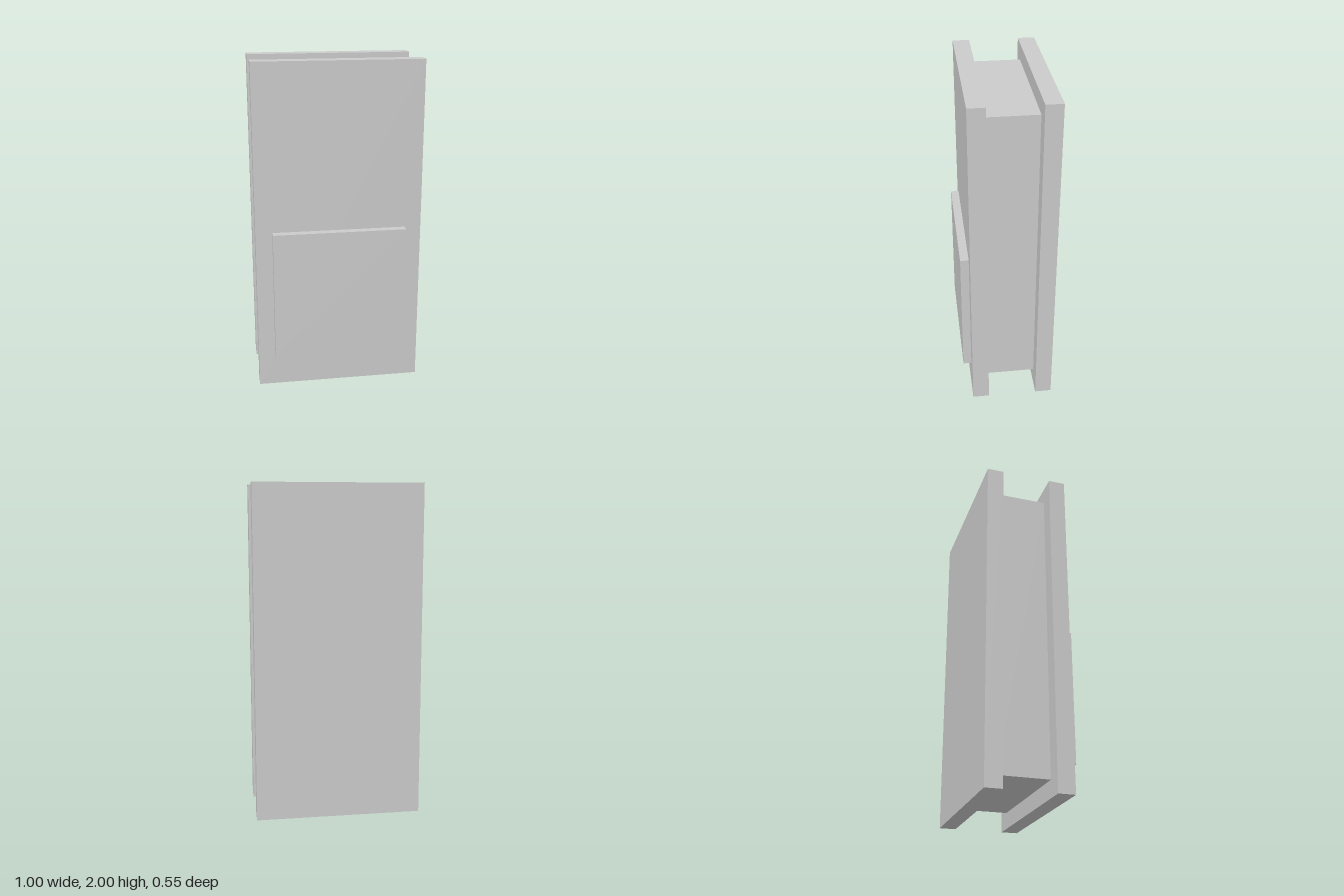
import * as THREE from 'three';

export function createModel() {
  const model = new THREE.Group();
  model.name = 'panelledSlab';
  const material = new THREE.MeshStandardMaterial({ color: 0xcccccc });

  // Box centred on x, given its width and its y and z ranges
  function addBox(name, width, [y0, y1], [z0, z1]) {
    const mesh = new THREE.Mesh(new THREE.BoxGeometry(width, y1 - y0, z1 - z0), material);
    mesh.name = name;
    mesh.position.set(0, (y0 + y1) / 2, (z0 + z1) / 2);
    model.add(mesh);
  }

  // Two outer plates with a smaller core between them
  addBox('backPlate', 1, [0, 2], [-0.275, -0.175]);
  addBox('core', 0.8, [0.1, 1.9], [-0.175, 0.125]);
  addBox('frontPlate', 1, [0, 2], [0.125, 0.225]);

  // Raised square panel low on the front
  addBox('frontPanel', 0.8, [0.2, 1], [0.225, 0.275]);

  return model;
}
